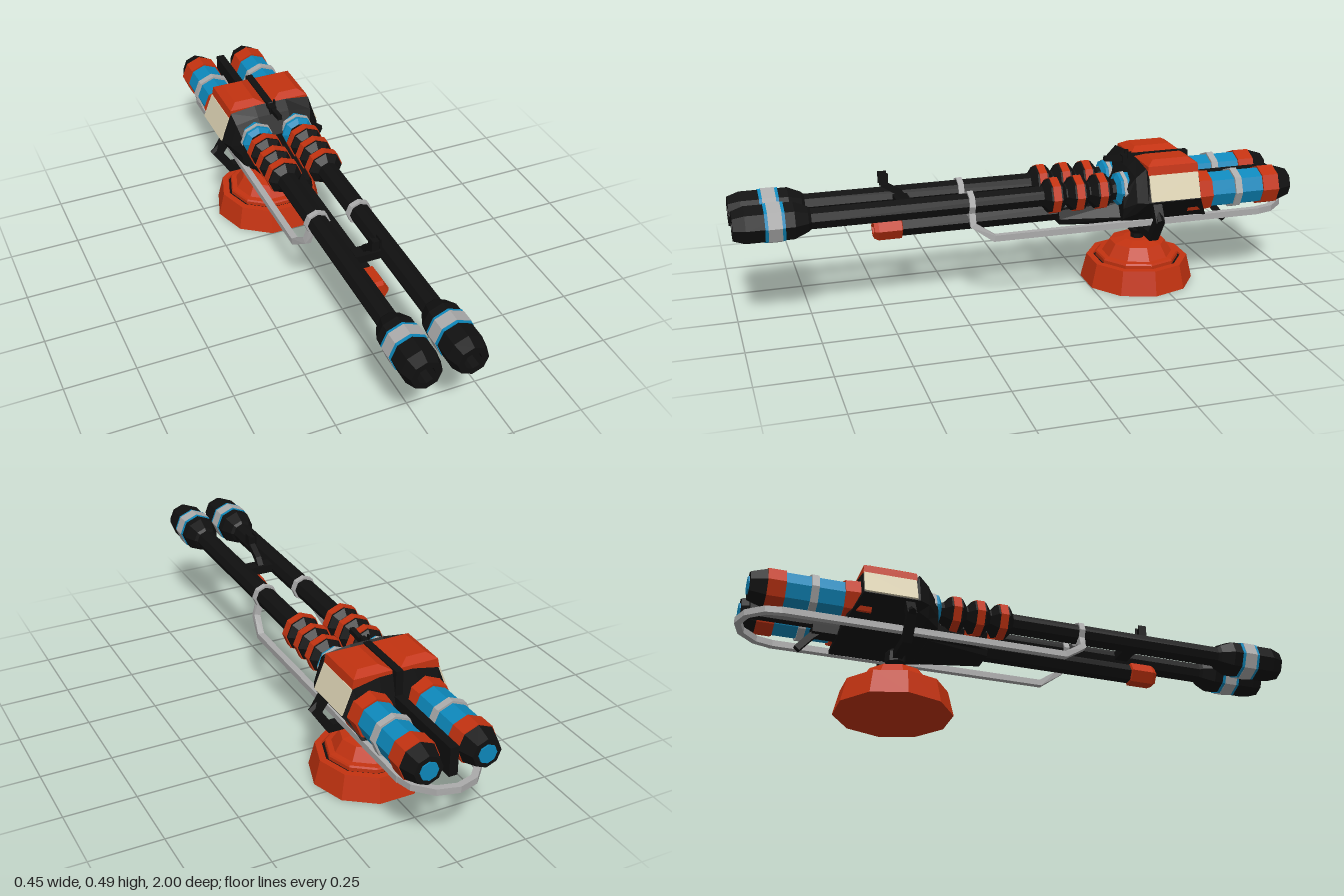
import * as THREE from 'three';

const V = (x, y, z) => new THREE.Vector3(x, y, z);

function makeMat(name, color) {
  const m = new THREE.MeshStandardMaterial({ color });
  m.name = name;
  return m;
}

// Faceted copy of a geometry
function facet(geo) {
  const g = geo.index ? geo.toNonIndexed() : geo;
  g.computeVertexNormals();
  return g;
}

// Skin closed rings from first to last; rings run counter-clockwise seen from before the first
function loft(rings) {
  const pos = [], n = rings[0].length;
  const tri = (...ps) => ps.forEach(p => pos.push(p.x, p.y, p.z));
  const mid = r => r.reduce((a, p) => a.add(p), V(0, 0, 0)).divideScalar(n);
  const first = rings[0], last = rings[rings.length - 1], c0 = mid(first), c1 = mid(last);
  for (let i = 0; i < n; i++) {
    const j = (i + 1) % n;
    for (let k = 0; k + 1 < rings.length; k++) {
      const a = rings[k], b = rings[k + 1];
      tri(a[i], b[i], b[j]);
      tri(a[i], b[j], a[j]);
    }
    tri(c0, first[i], first[j]);
    tri(c1, last[j], last[i]);
  }
  const g = new THREE.BufferGeometry();
  g.setAttribute('position', new THREE.Float32BufferAttribute(pos, 3));
  return facet(g);
}

// Faceted bar swept along a polyline
function bar(path, r, sides, ref) {
  return loft(path.map((p, i) => {
    const d = V(0, 0, 0);
    if (i > 0) d.add(p.clone().sub(path[i - 1]).normalize());
    if (i < path.length - 1) d.add(path[i + 1].clone().sub(p).normalize());
    d.normalize();
    const v = d.clone().cross(ref).normalize(), u = v.clone().cross(d);
    return Array.from({ length: sides }, (_, k) => {
      const a = (k + 0.5) / sides * Math.PI * 2;
      return p.clone().addScaledVector(u, r * Math.cos(a)).addScaledVector(v, -r * Math.sin(a));
    });
  }));
}

// Turned part along z: profile of [z, radius] from back to front
function turned(profile, x, y, sides = 8, start = 0) {
  const g = new THREE.LatheGeometry(profile.map(([z, r]) => new THREE.Vector2(r, z)), sides, start);
  return facet(g.rotateX(Math.PI / 2).translate(x, y, 0));
}

// Turned part along y: profile of [radius, y] from bottom to top
function upright(profile, sides, z) {
  const g = new THREE.LatheGeometry(profile.map(([r, y]) => new THREE.Vector2(r, y)), sides, Math.PI / 2);
  return facet(g.translate(0, 0, z));
}

const box = (w, h, d, x, y, z) => facet(new THREE.BoxGeometry(w, h, d).translate(x, y, z));
const rect = (y, x0, x1, z0, z1) => [V(x0, y, z1), V(x1, y, z1), V(x1, y, z0), V(x0, y, z0)];

// Mirrored copy across x with the winding restored
function mirror(geo) {
  const g = geo.clone(), p = g.attributes.position;
  for (let i = 0; i < p.count; i += 3) {
    const t = [0, 2, 1].map(k => V(0, 0, 0).fromBufferAttribute(geo.attributes.position, i + k));
    t.forEach((q, k) => p.setXYZ(i + k, -q.x, q.y, q.z));
  }
  return facet(g);
}

export function createModel() {
  const root = new THREE.Group();
  root.name = 'twinBarrelTurret';
  const black = makeMat('black', 0x101010), orange = makeMat('orange', 0xc23210);
  const blue = makeMat('blue', 0x0d88bb), grey = makeMat('grey', 0xababab), cream = makeMat('cream', 0xdbd1b2);

  const add = (name, geo, mat) => {
    const m = new THREE.Mesh(geo, mat);
    m.name = name;
    root.add(m);
  };
  const pair = (name, geo, mat) => {
    add(name + 'Left', geo, mat);
    add(name + 'Right', mirror(geo), mat);
  };

  // Pedestal
  const pz = -0.445;
  add('baseSkirt', upright([[0, 0], [0.204, 0], [0.183, 0.087], [0.16, 0.088], [0.155, 0.07], [0, 0.07]], 10, pz), orange);
  add('baseGap', upright([[0.158, 0.06], [0.158, 0.082], [0, 0.082]], 10, pz), black);
  add('baseDome', upright([[0.15, 0.07], [0.15, 0.095], [0.146, 0.101], [0.127, 0.103], [0.1, 0.146], [0.05, 0.157], [0, 0.157]], 10, pz), orange);
  add('post', upright([[0.025, 0.15], [0.025, 0.175], [0.037, 0.19], [0.037, 0.225], [0.025, 0.238], [0.045, 0.255]], 8, pz), black);

  // Yoke carrying the body
  add('yoke', bar([V(-0.16, 0.345, pz), V(-0.2, 0.283, pz), V(-0.152, 0.211, pz), V(0.152, 0.211, pz),
    V(0.2, 0.283, pz), V(0.16, 0.345, pz)], 0.023, 4, V(0, 0, 1)), black);
  pair('yokePivot', bar([V(0.17, 0.32, pz), V(0.217, 0.283, pz)], 0.014, 6, V(0, 0, 1)), black);

  // Body, from front to back
  const section = (z, half) => [
    ...half.map(([x, y]) => V(x, y, z)),
    ...half.slice().reverse().map(([x, y]) => V(-x, y, z)),
  ];
  add('body', loft([
    section(-0.335, [[0.1, 0.25], [0.135, 0.28], [0.14, 0.32], [0.13, 0.37], [0.05, 0.38]]),
    section(-0.375, [[0.11, 0.248], [0.155, 0.3], [0.17, 0.345], [0.145, 0.43], [0.06, 0.445]]),
    section(-0.41, [[0.115, 0.247], [0.165, 0.315], [0.187, 0.347], [0.152, 0.462], [0.06, 0.474]]),
    section(-0.425, [[0.115, 0.247], [0.165, 0.315], [0.187, 0.347], [0.152, 0.437], [0.06, 0.455]]),
    section(-0.605, [[0.115, 0.247], [0.165, 0.315], [0.187, 0.347], [0.152, 0.437], [0.06, 0.455]]),
    section(-0.655, [[0.115, 0.247], [0.13, 0.25], [0.13, 0.255], [0.12, 0.26], [0.06, 0.26]]),
  ]), black);
  add('underBody', loft([
    section(-0.13, [[0.045, 0.25], [0.05, 0.27], [0.04, 0.3]]),
    section(-0.36, [[0.1, 0.248], [0.12, 0.28], [0.09, 0.33]]),
  ]), black);
  pair('sidePanel', loft([-0.42, -0.603].map(z =>
    [V(0.186, 0.35, z), V(0.192, 0.352, z), V(0.158, 0.438, z), V(0.15, 0.437, z)])), cream);
  pair('topCap', loft([
    rect(0.485, 0.05, 0.122, -0.575, -0.445),
    rect(0.468, 0.014, 0.15, -0.603, -0.418),
    rect(0.436, 0.014, 0.156, -0.605, -0.416),
  ]), orange);
  add('topSpine', box(0.026, 0.1, 0.25, 0, 0.422, -0.5), black);
  add('rearSpine', box(0.03, 0.1, 0.33, 0, 0.335, -0.785), black);

  // Long barrels
  const bx = 0.077, by = 0.373;
  pair('barrel', turned([[-0.4, 0.037], [0.78, 0.037]], bx, by), black);
  pair('barrelRoot', turned([[-0.4, 0.06], [-0.33, 0.06], [-0.318, 0.04]], bx, by), blue);
  pair('barrelRootBand', turned([[-0.353, 0.058], [-0.353, 0.064], [-0.34, 0.064], [-0.34, 0.058]], bx, by), grey);
  [-0.095, -0.18, -0.265].forEach((z, i) => {
    pair('coolingCollar' + i, turned([[z - 0.04, 0.037], [z - 0.02, 0.062], [z + 0.02, 0.062], [z + 0.04, 0.037]], bx, by), black);
    pair('coolingRing' + i, turned([[z - 0.014, 0.06], [z - 0.014, 0.066], [z + 0.014, 0.066], [z + 0.014, 0.06]], bx, by), orange);
  });
  pair('muzzle', turned([[0.745, 0.037], [0.755, 0.046], [0.8, 0.066], [0.96, 0.066], [1, 0.052],
    [1, 0.03], [0.95, 0.028], [0.95, 0]], bx, by), black);
  pair('muzzleBlueBand', turned([[0.832, 0.064], [0.832, 0.069], [0.898, 0.069], [0.898, 0.064]], bx, by), blue);
  pair('muzzleGreyBand', turned([[0.842, 0.068], [0.842, 0.0705], [0.888, 0.0705], [0.888, 0.068]], bx, by), grey);

  // Rear canisters
  const cx = 0.1, cy = 0.347;
  pair('canister', turned([[-0.87, 0.065], [-0.64, 0.065]], cx, cy), blue);
  pair('canisterCollar', turned([[-0.662, 0.06], [-0.662, 0.072], [-0.61, 0.076], [-0.57, 0.076]], cx, cy), orange);
  pair('canisterBand', turned([[-0.775, 0.063], [-0.775, 0.073], [-0.75, 0.073], [-0.75, 0.063]], cx, cy), grey);
  pair('canisterRing', turned([[-0.918, 0.06], [-0.918, 0.071], [-0.858, 0.071], [-0.858, 0.06]], cx, cy), orange);
  pair('canisterEnd', turned([[-0.972, 0], [-0.972, 0.05], [-0.918, 0.068], [-0.9, 0.068]], cx, cy), black);
  pair('canisterLamp', turned([[-0.977, 0], [-0.977, 0.032], [-0.97, 0.032]], cx, cy), blue);

  // Centre barrel with hexagonal tip
  const ry = 0.287;
  add('centreBarrel', turned([[-0.35, 0.034], [0.44, 0.034]], 0, ry, 6, Math.PI / 2), black);
  add('centreTip', turned([[0.425, 0.03], [0.43, 0.042], [0.51, 0.042], [0.525, 0.034], [0.525, 0.02], [0.49, 0.02]], 0, ry, 6, Math.PI / 2), orange);
  add('centreBore', turned([[0.49, 0.022], [0.495, 0.022], [0.495, 0]], 0, ry, 6, Math.PI / 2), black);

  // Sights
  add('frontSightBridge', box(0.09, 0.03, 0.05, 0, 0.375, 0.42), black);
  add('frontSightArm', bar([V(0, 0.385, 0.41), V(0, 0.41, 0.43), V(0, 0.445, 0.485), V(0, 0.477, 0.485)], 0.015, 4, V(1, 0, 0)), black);
  pair('frontSightPost', box(0.006, 0.04, 0.03, 0.014, 0.466, 0.485), black);
  add('rearSight', bar([V(0, 0.465, -0.31), V(0, 0.455, -0.42)], 0.012, 4, V(1, 0, 0)), black);
  pair('rearSightPost', box(0.006, 0.04, 0.012, 0.014, 0.466, -0.4), black);

  // Rear grip under the body
  add('rearGrip', bar([V(0, 0.27, -0.71), V(0, 0.245, -0.74), V(0, 0.192, -0.785)], 0.016, 4, V(1, 0, 0)), black);
  add('gripMount', box(0.06, 0.03, 0.12, 0, 0.268, -0.68), black);

  // Guard rails and barrel clamps
  pair('railClamp', turned([[0.192, 0.035], [0.192, 0.045], [0.212, 0.045], [0.212, 0.035]], bx, by), grey);
  pair('sideRail', bar([V(0.1, 0.345, 0.202), V(0.113, 0.305, 0.2), V(0.128, 0.258, 0.13), V(0.128, 0.258, -0.86)],
    0.016, 4, V(1, 0, 0)), grey);
  add('rearRail', bar([V(0.128, 0.258, -0.85), V(0.115, 0.26, -0.91), V(0.065, 0.262, -0.965), V(0, 0.264, -0.985),
    V(-0.065, 0.262, -0.965), V(-0.115, 0.26, -0.91), V(-0.128, 0.258, -0.85)], 0.016, 4, V(0, 1, 0)), grey);

  return root;
}
